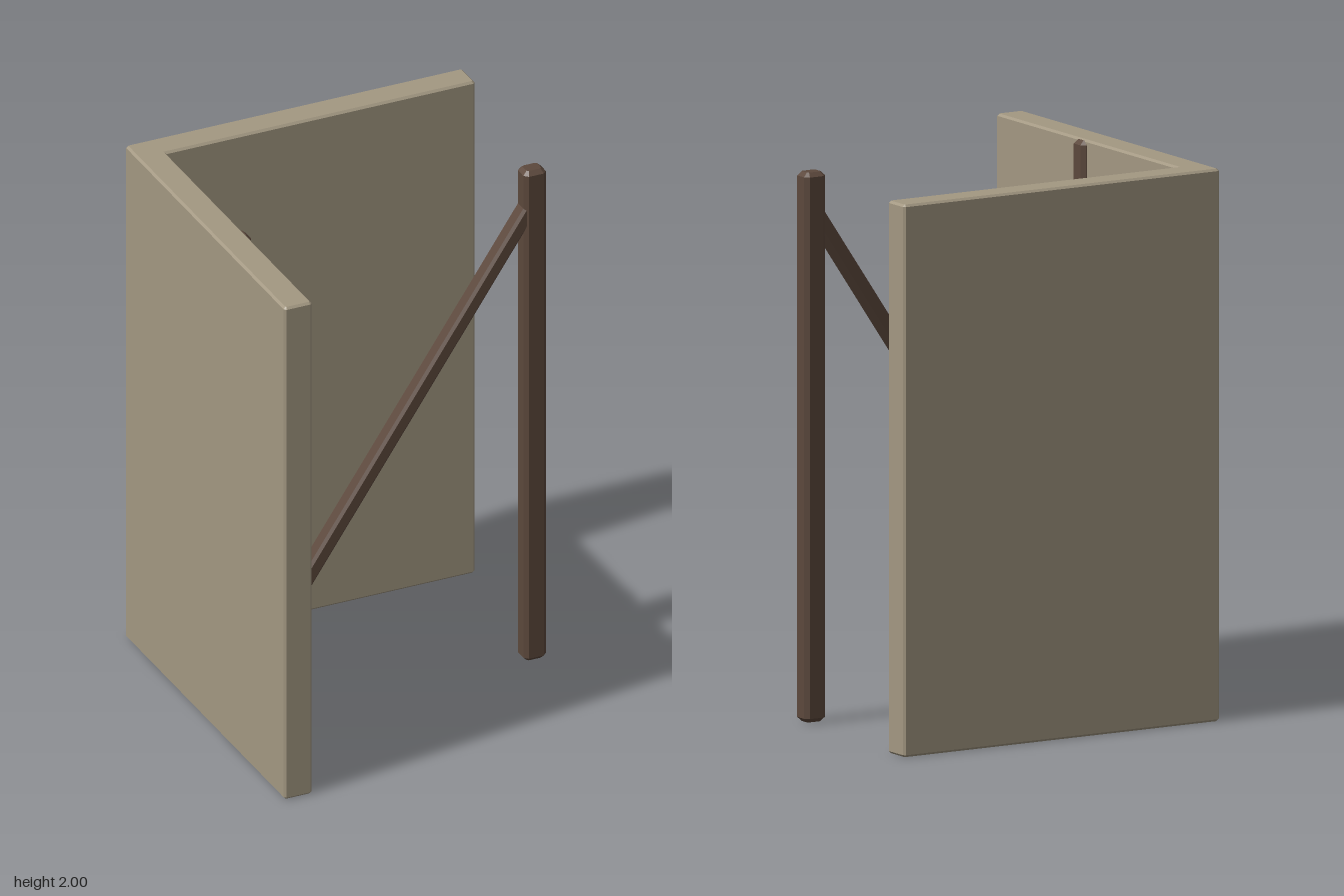
import * as THREE from 'three';

const wallMat = new THREE.MeshStandardMaterial({ color: 0xa39882, flatShading: true });
const woodMat = new THREE.MeshStandardMaterial({ color: 0x5c483c, flatShading: true });

// Upright prism from a counter-clockwise outline, with every convex edge chamfered by c
function chamferedPrism(outline, height, c) {
  const pts = [];
  const P = outline.map(([x, y]) => new THREE.Vector2(x, y));
  P.forEach((p, i) => {
    const toPrev = P[(i + P.length - 1) % P.length].clone().sub(p).normalize();
    const toNext = P[(i + 1) % P.length].clone().sub(p).normalize();
    if (toNext.cross(toPrev) > 0) {
      pts.push(p.clone().addScaledVector(toPrev, c), p.clone().addScaledVector(toNext, c));
    } else pts.push(p);
  });
  const geo = new THREE.ExtrudeGeometry(new THREE.Shape(pts), {
    depth: height - 2 * c, bevelEnabled: true, bevelSegments: 1,
    bevelSize: c, bevelThickness: c, bevelOffset: -c,
  });
  geo.translate(0, 0, c);
  geo.rotateX(-Math.PI / 2);
  return geo;
}

const rect = (w, d) => [[-w / 2, -d / 2], [w / 2, -d / 2], [w / 2, d / 2], [-w / 2, d / 2]];

export function createModel() {
  const group = new THREE.Group();
  const add = (name, geo, mat) => {
    const mesh = new THREE.Mesh(geo, mat);
    mesh.name = name;
    group.add(mesh);
    return mesh;
  };

  // L-shaped corner wall (outline in x, -z)
  const o = 0.663, i = 0.553;
  add('cornerWall', chamferedPrism(
    [[-o, -o], [-i, -o], [-i, i], [o, i], [o, o], [-o, o]], 2, 0.008), wallMat);

  // Free-standing post and its twin sunk into the side wall
  const braceZ = 0.092;
  for (const [name, x] of [['freePost', 0.58], ['wallPost', -0.58]]) {
    add(name, chamferedPrism(rect(0.088, 0.076), 1.99, 0.015), woodMat)
      .position.set(x, 0.005, braceZ);
  }

  // Diagonal brace running from the foot of the wall post to the head of the free post
  const a = new THREE.Vector3(-0.565, 0.165, braceZ), b = new THREE.Vector3(0.565, 1.84, braceZ);
  const dir = b.clone().sub(a);
  const brace = add('diagonalBrace', chamferedPrism(rect(0.056, 0.064), dir.length(), 0.01), woodMat);
  brace.position.copy(a);
  brace.rotation.z = -Math.atan2(dir.x, dir.y);

  return group;
}
